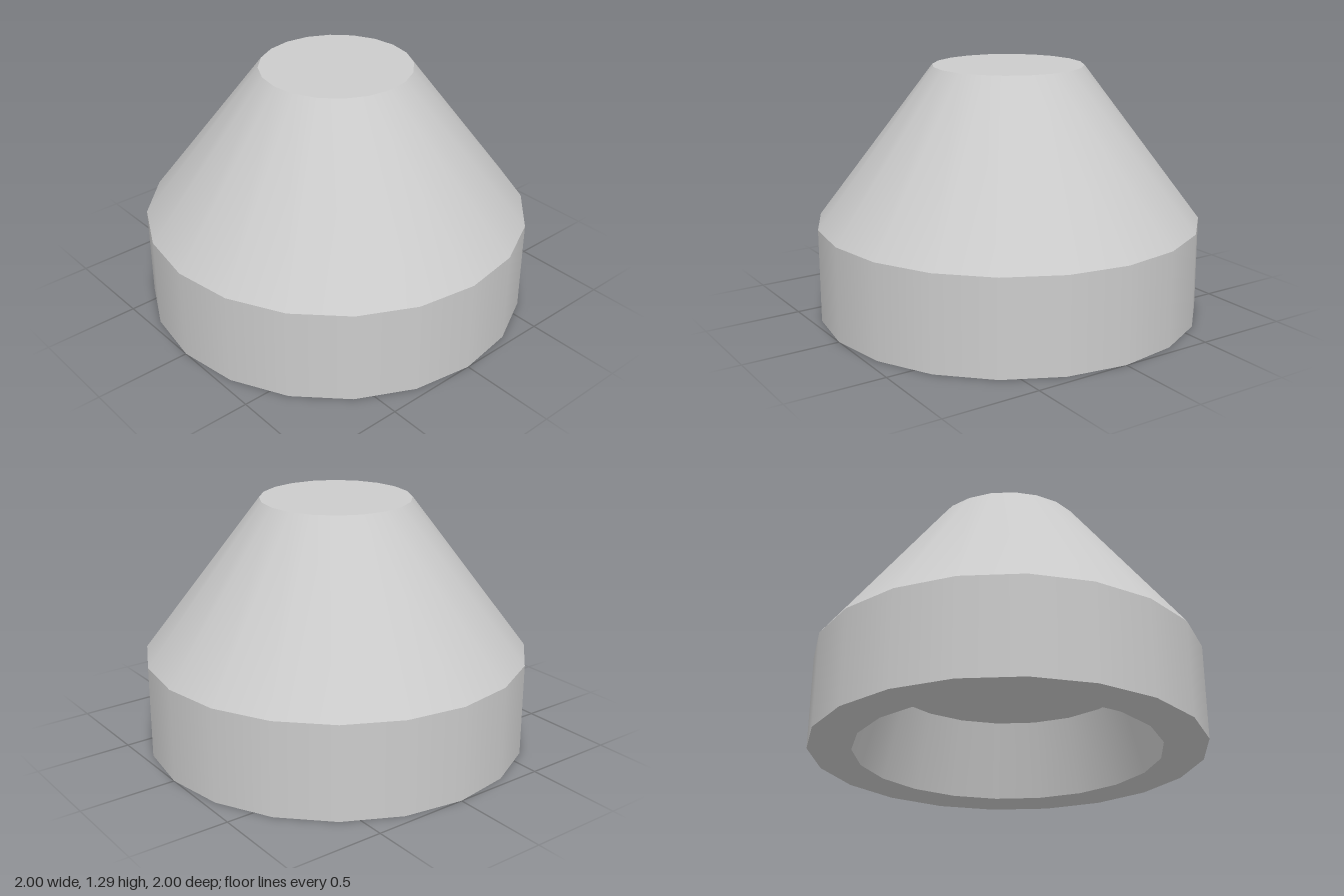
import * as THREE from 'three';

const SIDES = 20;

export function createModel() {
  const model = new THREE.Group();
  const material = new THREE.MeshStandardMaterial({ color: 0xcccccc });

  const add = (name, geometry, y = 0) => {
    const mesh = new THREE.Mesh(geometry, material);
    mesh.name = name;
    mesh.position.y = y;
    model.add(mesh);
  };
  // Surface of revolution; each band is its own mesh so the rims stay sharp
  const band = (...points) =>
    new THREE.LatheGeometry(points.map(([r, y]) => new THREE.Vector2(r, y)), SIDES);

  // Outer shell, from the foot upward
  add('baseWall', band([1, 0], [1, 0.49]));
  add('taperedBody', band([1, 0.49], [0.39, 1.295]));
  add('flatTop', band([0.39, 1.295], [0, 1.295]));

  // Underside: flat rim around a tapering blind recess
  add('bottomRim', band([0.78, 0], [1, 0]));
  add('recessWall', band([0.665, 0.41], [0.78, 0]));
  add('recessCeiling', band([0, 0.41], [0.665, 0.41]));

  return model;
}
